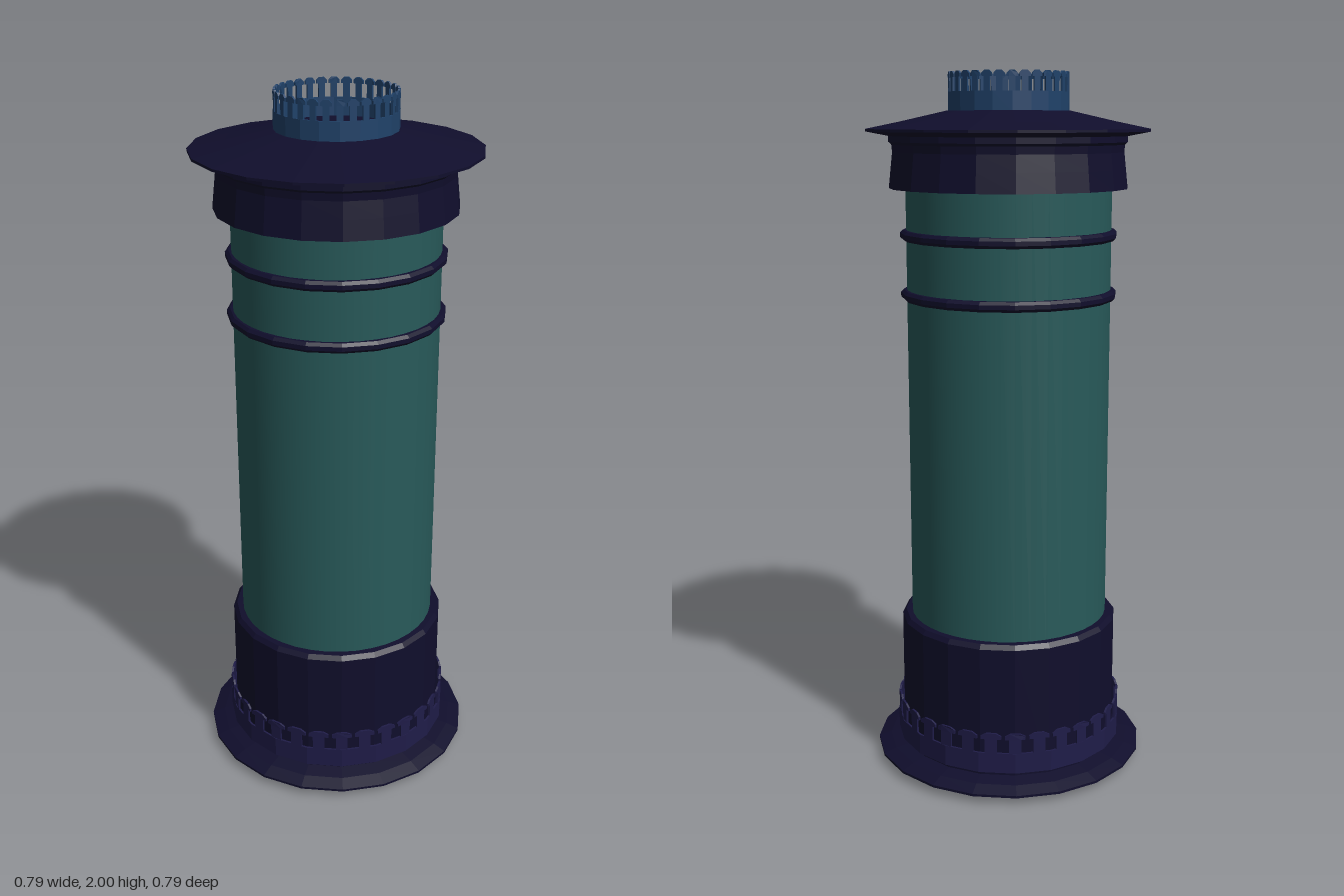
import * as THREE from 'three';

const SIDES = 20;
const STEP = (Math.PI * 2) / SIDES;

const navy = new THREE.MeshStandardMaterial({ color: 0x100e2c, flatShading: true });
const indigo = new THREE.MeshStandardMaterial({ color: 0x1f1c48, flatShading: true, side: THREE.DoubleSide });
const blue = new THREE.MeshStandardMaterial({ color: 0x20426a, flatShading: true, side: THREE.DoubleSide });
const teal = new THREE.MeshStandardMaterial({ color: 0x285a5a });

// Turned part from a bottom-to-top profile of [radius, height]
function turned(name, profile, material, sides = SIDES) {
  const points = profile.map(([r, y]) => new THREE.Vector2(r, y));
  const mesh = new THREE.Mesh(new THREE.LatheGeometry(points, sides), material);
  mesh.name = name;
  return mesh;
}

// Distance to the rim of a 20-sided ring at a given angle
function ringRadius(radius, angle) {
  const local = angle - Math.floor(angle / STEP) * STEP - STEP / 2;
  return (radius * Math.cos(STEP / 2)) / Math.cos(local);
}

// Wrap a flat geometry (x = angle, z = depth) around the ring
function wrap(geometry, radius, depth, offset) {
  const p = geometry.attributes.position;
  for (let i = 0; i < p.count; i++) {
    const a = p.getX(i) + offset;
    const r = ringRadius(radius, a) - depth + p.getZ(i);
    p.setXYZ(i, Math.sin(a) * r, p.getY(i), Math.cos(a) * r);
  }
  geometry.computeVertexNormals();
  return geometry;
}

// Crenellated band: solid lower strip with pointed posts above it
function crown(name, radius, bottom, height, material) {
  const group = new THREE.Group();
  group.name = name;
  const teeth = 30, depth = 0.006;
  const pitch = (Math.PI * 2) / teeth;
  const w = pitch / 2;
  const outline = [
    [-0.5, 0.5], [-0.5, 0.85], [-0.85, 0.85], [-0.85, 0.93], [-0.4, 1],
    [0.4, 1], [0.85, 0.93], [0.85, 0.85], [0.5, 0.85], [0.5, 0.5],
  ].map(([x, y]) => new THREE.Vector2(x * w, bottom + y * height));

  for (let i = 0; i < teeth; i++) {
    const tooth = new THREE.ExtrudeGeometry(new THREE.Shape(outline), { depth, bevelEnabled: false });
    const post = new THREE.Mesh(wrap(tooth, radius, depth, i * pitch), material);
    post.name = 'post';
    group.add(post);
  }
  const top = bottom + height * 0.5;
  group.add(turned('band', [
    [radius - depth, bottom], [radius, bottom], [radius, top],
    [radius - depth, top], [radius - depth, bottom],
  ], material));
  return group;
}

export function createModel() {
  const model = new THREE.Group();
  model.name = 'column';

  // Foot and plinth
  model.add(turned('foot', [
    [0, 0], [0.397, 0.022], [0.397, 0.029], [0.36, 0.042], [0.31, 0.052], [0, 0.056],
  ], navy));
  model.add(turned('plinth', [
    [0.318, 0.045], [0.318, 0.43], [0.308, 0.443], [0.28, 0.445],
  ], navy));
  model.add(crown('baseCrown', 0.335, 0.065, 0.12, indigo));

  // Shaft with two raised rings
  model.add(turned('shaft', [[0.289, 0.42], [0.289, 1.72]], teal, 40));
  for (const y of [1.39, 1.557]) {
    model.add(turned('shaftRing', [
      [0.28, y - 0.016], [0.298, y - 0.014], [0.306, y - 0.006],
      [0.306, y + 0.006], [0.298, y + 0.014], [0.28, y + 0.016],
    ], navy));
  }

  // Flared cap with a wide sloping brim
  model.add(turned('cap', [
    [0, 1.686], [0.335, 1.686], [0.329, 1.74], [0.324, 1.785], [0.326, 1.805],
    [0.334, 1.812], [0.334, 1.828], [0.397, 1.84], [0.397, 1.847],
    [0.3, 1.867], [0.172, 1.896], [0, 1.9],
  ], navy));
  model.add(crown('topCrown', 0.168, 1.893, 0.107, blue));

  return model;
}
